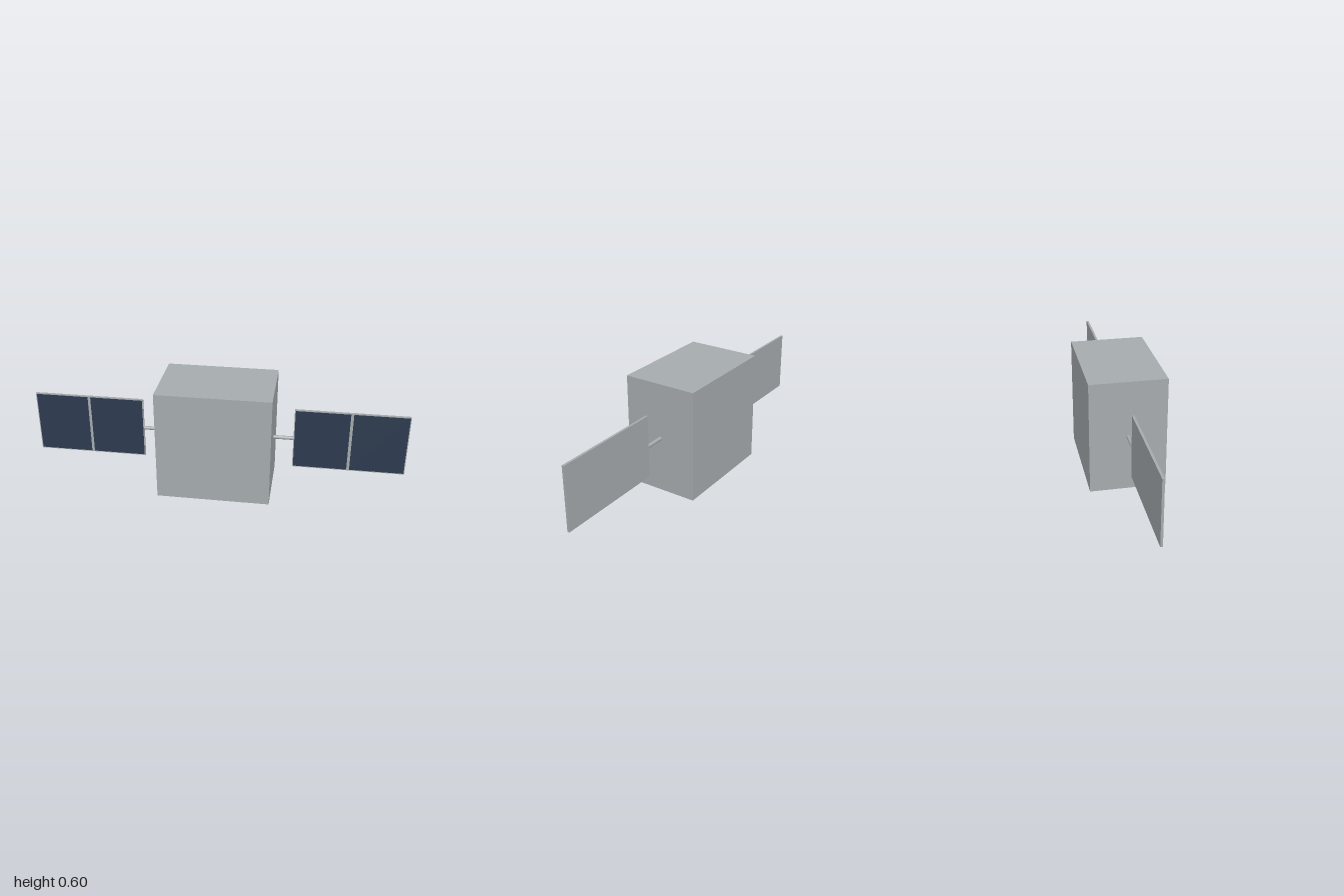
import * as THREE from 'three';

const hull = new THREE.MeshStandardMaterial({ color: 0xa6abae });
hull.name = 'hull grey';
const cellBlue = new THREE.MeshStandardMaterial({ color: 0x2d3b4f });
cellBlue.name = 'solar cell blue';

function add(parent, name, geometry, material, x, y, z) {
  const mesh = new THREE.Mesh(geometry, material);
  mesh.name = name;
  mesh.position.set(x, y, z);
  parent.add(mesh);
  return mesh;
}

export function createModel() {
  const model = new THREE.Group();
  model.name = 'satellite';
  const midY = 0.3;

  // Main box
  add(model, 'body', new THREE.BoxGeometry(0.6, 0.6, 0.4), hull, 0, midY, 0);

  // One solar wing on each side
  const panelW = 0.595, panelH = 0.34, panelT = 0.012, cellT = 0.001;
  for (const side of [1, -1]) {
    const wing = new THREE.Group();
    wing.name = side > 0 ? 'leftWing' : 'rightWing';
    wing.position.y = midY;
    model.add(wing);

    // Round strut from body to panel
    const strut = new THREE.CylinderGeometry(0.01, 0.01, 0.11, 16).rotateZ(Math.PI / 2);
    add(wing, 'strut', strut, hull, side * 0.35, 0, 0);

    // Backing panel, with two cells on its front
    const centre = side * (1 - panelW / 2);
    add(wing, 'panel', new THREE.BoxGeometry(panelW, panelH, panelT), hull, centre, 0, 0);
    for (const d of [-1, 1]) {
      add(wing, 'solarCell', new THREE.BoxGeometry(0.285, 0.33, cellT), cellBlue,
        centre + d * 0.15, 0, panelT / 2 + cellT / 2);
    }
  }
  return model;
}
